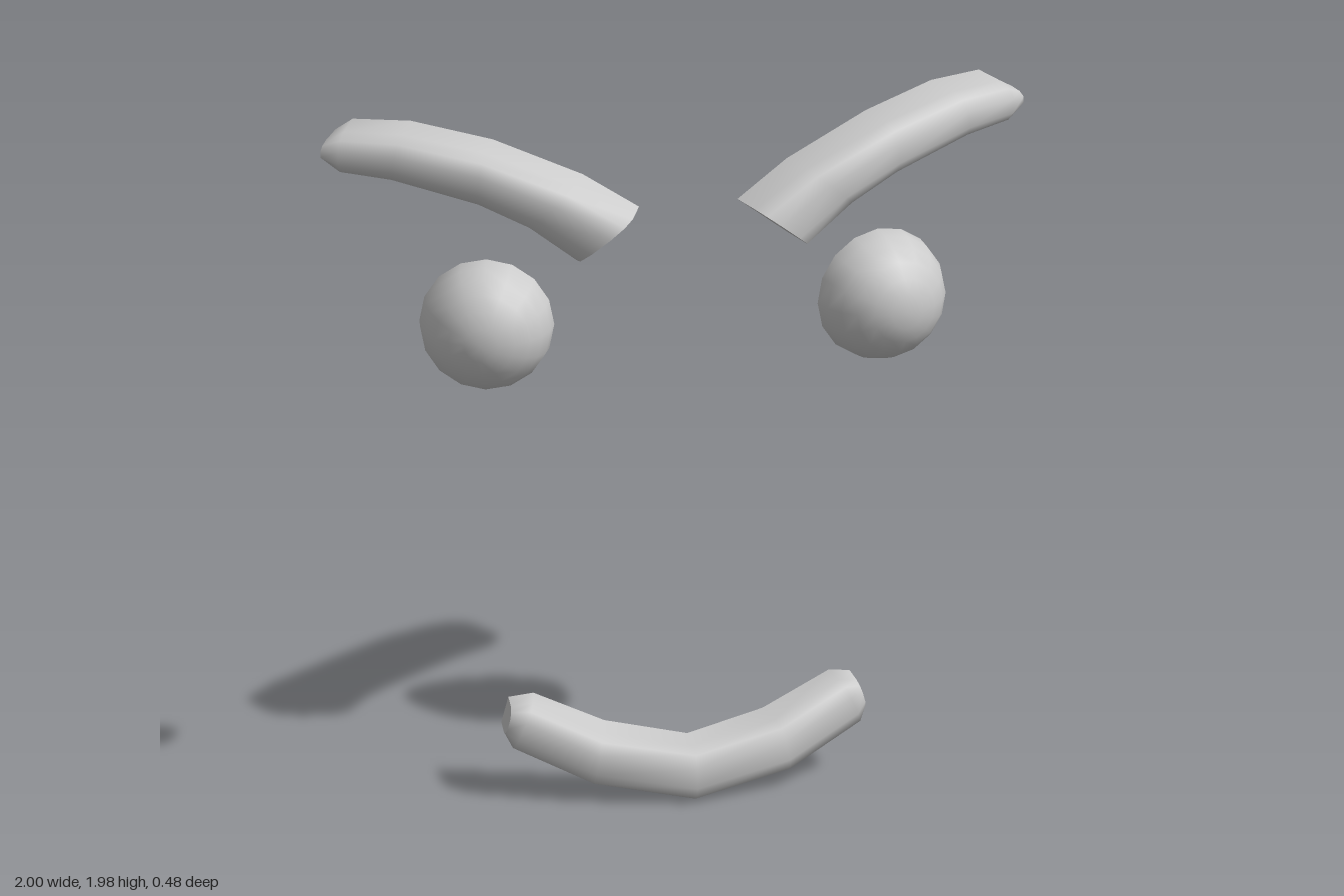
import * as THREE from 'three';

const material = new THREE.MeshStandardMaterial({ color: 0xcccccc, side: THREE.DoubleSide });

// U-shaped profile, open at the back: [share from top to bottom, share from rear to front]
const PROFILE = [[0, 0], [0, 0.62], [0.1, 0.87], [0.32, 1], [0.68, 1], [0.9, 0.87], [1, 0.62], [1, 0]];

// Station: rear top corner, rear bottom corner, depth vector (x, z)
const BROW = [
  [[0.14, 1.775, 0.10], [0.29, 1.645, 0.06], [0.055, 0.135]],
  [[0.29, 1.865, 0.05], [0.42, 1.74, 0.01], [0.06, 0.14]],
  [[0.53, 1.957, -0.03], [0.54, 1.80, -0.04], [0.065, 0.15]],
  [[0.74, 1.98, -0.15], [0.76, 1.845, -0.16], [0.07, 0.15]],
  [[0.89, 1.967, -0.225], [0.89, 1.85, -0.225], [0.07, 0.14]],
  [[0.935, 1.93, -0.245], [0.935, 1.88, -0.245], [0.065, 0.11]],
];
const HALF_MOUTH = [
  [[0, 0.155, 0.085], [0, 0, 0.1], [0, 0.143]],
  [[0.225, 0.19, 0.03], [0.255, 0.042, 0.04], [0.03, 0.14]],
  [[0.42, 0.275, -0.005], [0.475, 0.14, -0.015], [0.025, 0.12]],
  [[0.485, 0.255, -0.035], [0.505, 0.18, -0.035], [0.01, 0.11]],
];

// Mirror the stations in x, keeping them ordered from -x to +x
const mirrored = (stations) => stations
  .map(([t, b, d]) => [[-t[0], t[1], t[2]], [-b[0], b[1], b[2]], [-d[0], d[1]]])
  .reverse();

// Loft the profile through the stations and close both ends
function shell(name, stations) {
  const positions = [];
  const index = [];
  const n = PROFILE.length;
  const addSection = ([t, b, d]) => {
    for (const [u, v] of PROFILE) {
      positions.push(
        t[0] + (b[0] - t[0]) * u + d[0] * v,
        t[1] + (b[1] - t[1]) * u,
        t[2] + (b[2] - t[2]) * u + d[1] * v,
      );
    }
  };
  stations.forEach(addSection);
  for (let i = 0; i < stations.length - 1; i++) {
    for (let j = 0; j < n - 1; j++) {
      const a = i * n + j;
      index.push(a, a + 1, a + n, a + 1, a + n + 1, a + n);
    }
  }
  // End caps have their own vertices so their edges stay sharp
  const first = positions.length / 3;
  addSection(stations[0]);
  addSection(stations[stations.length - 1]);
  for (let j = 1; j < n - 1; j++) {
    index.push(first, first + j + 1, first + j);
    index.push(first + n, first + n + j, first + n + j + 1);
  }
  const geometry = new THREE.BufferGeometry();
  geometry.setAttribute('position', new THREE.Float32BufferAttribute(positions, 3));
  geometry.setIndex(index);
  geometry.computeVertexNormals();
  const mesh = new THREE.Mesh(geometry, material);
  mesh.name = name;
  return mesh;
}

// Hollow half sphere, turned slightly outward
function eye(name, side) {
  const geometry = new THREE.SphereGeometry(0.189, 16, 6, 0, Math.PI * 2, 0, Math.PI / 2);
  geometry.rotateX(Math.PI / 2);
  const mesh = new THREE.Mesh(geometry, material);
  mesh.name = name;
  mesh.position.set(side * 0.556, 1.422, 0.015);
  mesh.rotation.set(-0.03, side * 0.28, 0);
  return mesh;
}

export function createModel() {
  const group = new THREE.Group();
  group.name = 'face';
  group.add(
    shell('leftEyebrow', BROW),
    shell('rightEyebrow', mirrored(BROW)),
    eye('leftEye', 1),
    eye('rightEye', -1),
    shell('mouth', [...mirrored(HALF_MOUTH.slice(1)), ...HALF_MOUTH]),
  );
  return group;
}
